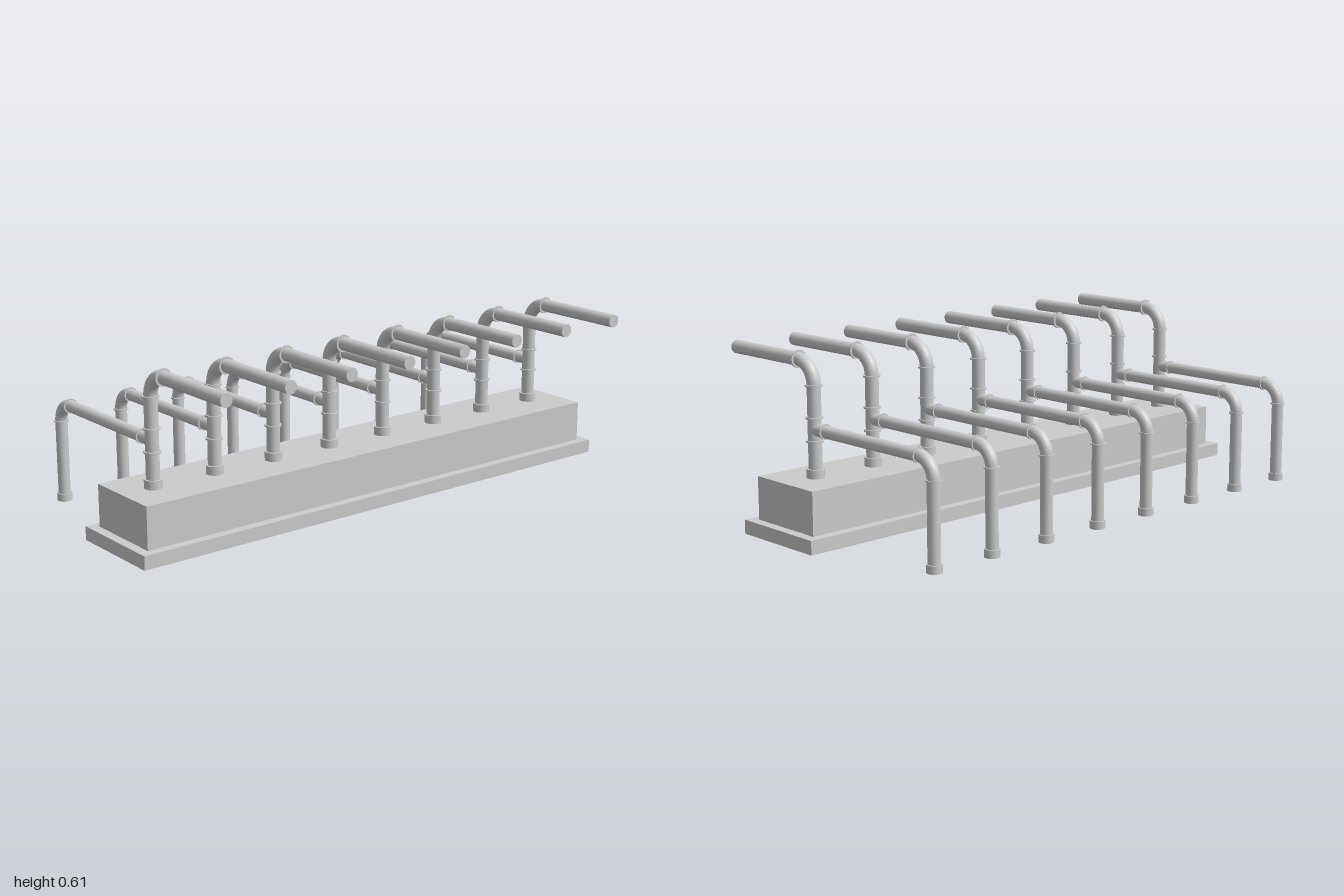
import * as THREE from 'three';

const material = new THREE.MeshStandardMaterial({ color: 0xcccccc });
const shellMaterial = new THREE.MeshStandardMaterial({ color: 0xcccccc, side: THREE.DoubleSide });

const SIDES = 24;
const RISER_Z = 0.094, RISER_R = 0.023, FRONT_Y = 0.577;
const LEG_Z = -0.486, BRANCH_R = 0.021, BRANCH_Y = 0.355;

function add(parent, name, geometry, y, z) {
  const mesh = new THREE.Mesh(geometry, material);
  mesh.name = name;
  mesh.position.set(0, y, z);
  parent.add(mesh);
}

// Upright cylinder between two heights
function upright(parent, name, radius, y0, y1, z) {
  add(parent, name, new THREE.CylinderGeometry(radius, radius, y1 - y0, SIDES), (y0 + y1) / 2, z);
}

// Level cylinder between two depths
function level(parent, name, radius, z0, z1, y) {
  const geometry = new THREE.CylinderGeometry(radius, radius, z1 - z0, SIDES).rotateX(Math.PI / 2);
  add(parent, name, geometry, y, (z0 + z1) / 2);
}

// Quarter bend joining an upright pipe to a level one in front of it
function elbow(parent, name, bend, radius, y, z) {
  const geometry = new THREE.TorusGeometry(bend, radius, SIDES, 12, Math.PI / 2).rotateY(Math.PI / 2);
  add(parent, name, geometry, y, z);
}

// Thin stepped cover, open underneath, made from rectangular loops
function createBase() {
  const rings = [[1, 0.178, 0], [1, 0.178, 0.048], [0.966, 0.145, 0.048], [0.966, 0.145, 0.195]];
  const loops = rings.map(([w, d, y]) => [[-w, y, d], [w, y, d], [w, y, -d], [-w, y, -d]]);
  const points = [];
  const quad = (a, b, c, d) => points.push(...a, ...b, ...c, ...a, ...c, ...d);
  for (let i = 0; i < loops.length - 1; i++) {
    for (let j = 0; j < 4; j++) {
      const k = (j + 1) % 4;
      quad(loops[i][j], loops[i][k], loops[i + 1][k], loops[i + 1][j]);
    }
  }
  quad(...loops[3]);
  const geometry = new THREE.BufferGeometry();
  geometry.setAttribute('position', new THREE.Float32BufferAttribute(points, 3));
  geometry.computeVertexNormals();
  const base = new THREE.Mesh(geometry, shellMaterial);
  base.name = 'steppedBase';
  base.position.z = 0.095;
  return base;
}

function createPipeUnit() {
  const unit = new THREE.Group();
  unit.name = 'pipeUnit';

  // Riser and front outlet
  upright(unit, 'riserSocket', 0.03, 0.195, 0.225, RISER_Z);
  upright(unit, 'riser', RISER_R, 0.195, 0.5, RISER_Z);
  for (const y of [0.316, 0.394, 0.5]) upright(unit, 'riserRing', 0.029, y - 0.003, y + 0.003, RISER_Z);
  elbow(unit, 'frontElbow', FRONT_Y - 0.5, RISER_R, 0.5, RISER_Z + FRONT_Y - 0.5);
  level(unit, 'frontRing', 0.03, 0.168, 0.174, FRONT_Y);
  level(unit, 'frontPipe', RISER_R, 0.171, 0.515, FRONT_Y);

  // Rear branch and down leg
  level(unit, 'branchPipe', BRANCH_R, -0.419, RISER_Z, BRANCH_Y);
  for (const z of [0.037, -0.419]) level(unit, 'branchRing', 0.026, z - 0.0025, z + 0.0025, BRANCH_Y);
  elbow(unit, 'rearElbow', 0.067, BRANCH_R, BRANCH_Y - 0.067, LEG_Z + 0.067);
  upright(unit, 'legRing', 0.026, 0.2855, 0.2905, LEG_Z);
  upright(unit, 'leg', BRANCH_R, 0.002, 0.288, LEG_Z);
  upright(unit, 'legFoot', 0.026, 0, 0.027, LEG_Z);
  return unit;
}

export function createModel() {
  const model = new THREE.Group();
  model.name = 'pipeManifold';
  model.add(createBase());

  // Row of eight identical pipe units
  const unit = createPipeUnit();
  for (let i = 0; i < 8; i++) {
    const copy = unit.clone();
    copy.position.x = (i - 3.5) * 0.241 - 0.003;
    model.add(copy);
  }
  return model;
}
